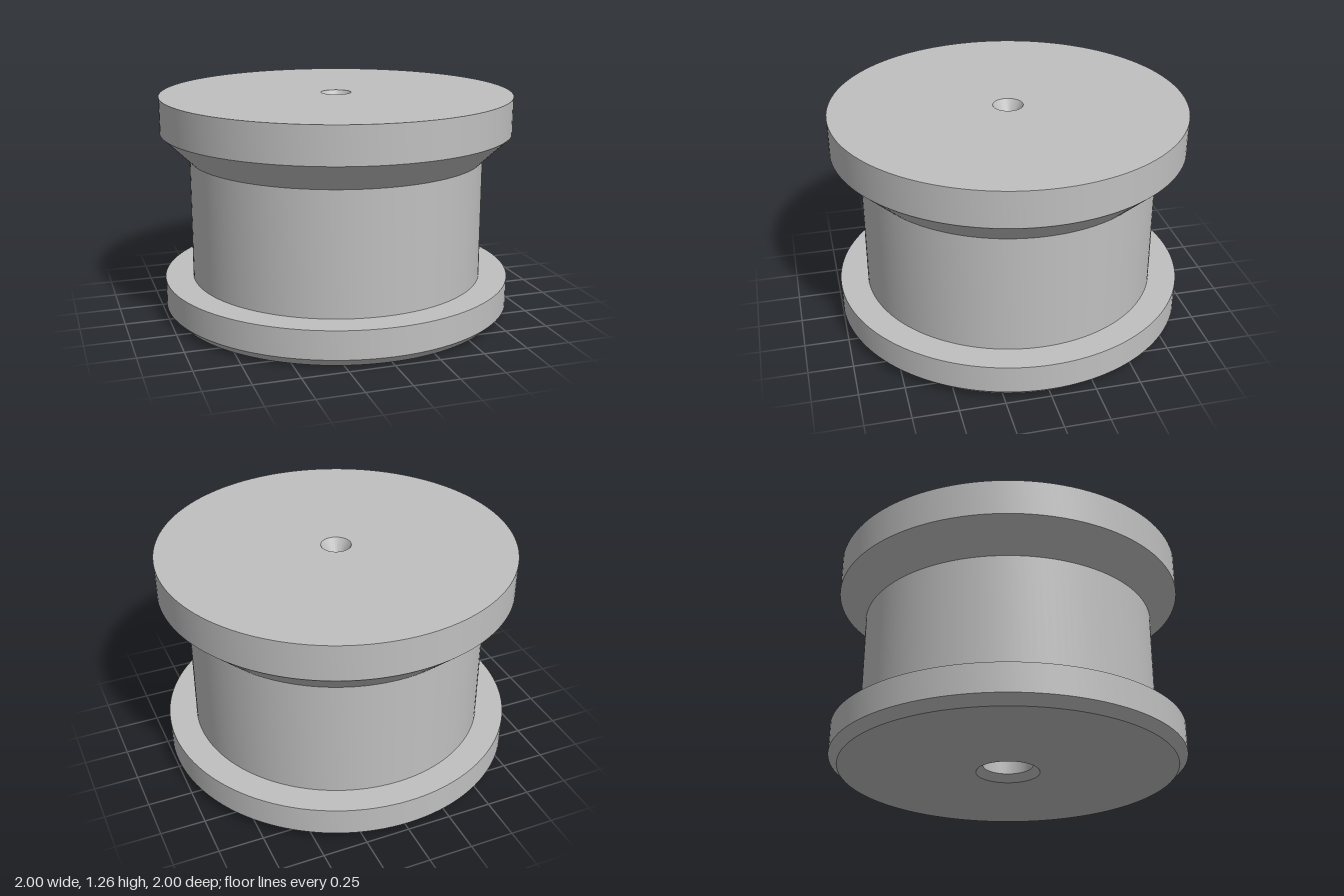
import * as THREE from 'three';
import { toCreasedNormals } from 'three/addons/utils/BufferGeometryUtils.js';

export function createModel() {
  const group = new THREE.Group();
  group.name = 'flangedSpool';

  const steel = new THREE.MeshStandardMaterial({ color: 0xc0c0c0 });
  steel.name = 'steel grey';

  // Closed half-section, from the blind bore below round to the centre hole on top
  const profile = [
    // chamfered blind bore in the underside
    [0, 0.5], [0.14, 0.5], [0.14, 0.04], [0.18, 0],
    // lower flange with chamfered rim
    [0.95, 0], [1, 0.05], [1, 0.21],
    // straight barrel
    [0.84, 0.21], [0.84, 0.9],
    // upper flange with sloping underside
    [1, 1.055], [1, 1.26],
    // countersunk centre hole
    [0.085, 1.26], [0.021, 1.15], [0.021, 1.1], [0, 1.1],
  ].map(([r, y]) => new THREE.Vector2(r, y));

  const body = new THREE.Mesh(
    toCreasedNormals(new THREE.LatheGeometry(profile, 128), 0.4),
    steel
  );
  body.name = 'spoolBody';
  group.add(body);

  return group;
}
